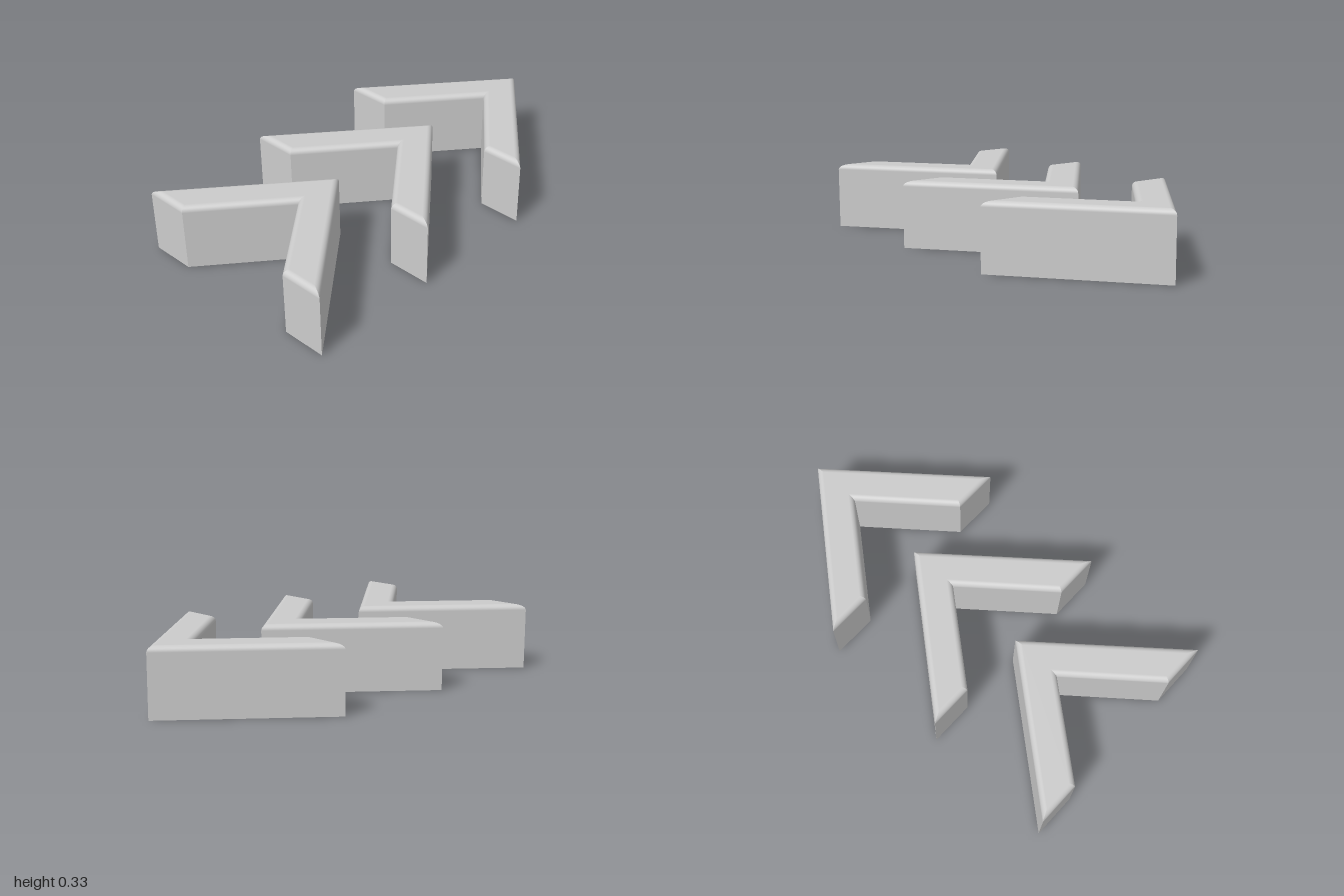
import * as THREE from 'three';

const HEIGHT = 0.333, RADIUS = 0.028, STEPS = 8, PITCH = 2 / 3;

// Chevron outline as (x, z), starting at the tip
const outline = [[0, 0], [0.555, 0.666], [0.333, 0.666], [0, 0.262], [-0.333, 0.666], [-0.555, 0.666]]
  .map(([x, z]) => new THREE.Vector2(x, z));
const count = outline.length;

// Outward normal of each outline edge
const normals = outline.map((p, i) => {
  const d = outline[(i + 1) % count].clone().sub(p).normalize();
  return new THREE.Vector2(d.y, -d.x);
});

// Outline corner moved inwards with mitred corners
function inset(i, amount) {
  const a = normals[(i + count - 1) % count], b = normals[i];
  return outline[i].clone().addScaledVector(a.clone().add(b), -amount / (1 + a.dot(b)));
}

function chevronGeometry() {
  const pos = [], nor = [], index = [];
  const add = (p, y, nx, ny, nz) => {
    pos.push(p.x, y, p.y);
    nor.push(nx, ny, nz);
    return pos.length / 3 - 1;
  };

  // Cross-section levels: straight wall, then a quarter-round top edge
  const levels = [{ y: 0, inset: 0, a: 0 }];
  for (let k = 0; k <= STEPS; k++) {
    const a = (k / STEPS) * Math.PI / 2;
    levels.push({ y: HEIGHT - RADIUS + RADIUS * Math.sin(a), inset: RADIUS * (1 - Math.cos(a)), a });
  }

  // Sides: one strip per edge, so the corners stay sharp
  for (let i = 0; i < count; i++) {
    const n = normals[i];
    levels.forEach((l, k) => {
      const c = Math.cos(l.a), s = Math.sin(l.a);
      const v = add(inset(i, l.inset), l.y, n.x * c, s, n.y * c);
      add(inset((i + 1) % count, l.inset), l.y, n.x * c, s, n.y * c);
      if (k > 0) index.push(v - 2, v, v - 1, v - 1, v, v + 1);
    });
  }

  // Flat top and underside, one quad per arm
  for (const up of [true, false]) {
    const base = pos.length / 3;
    for (let i = 0; i < count; i++) {
      add(inset(i, up ? RADIUS : 0), up ? HEIGHT : 0, 0, up ? 1 : -1, 0);
    }
    for (const [a, b, c] of [[0, 1, 2], [0, 2, 3], [0, 3, 4], [0, 4, 5]]) {
      index.push(base + a, base + (up ? c : b), base + (up ? b : c));
    }
  }

  const g = new THREE.BufferGeometry();
  g.setAttribute('position', new THREE.Float32BufferAttribute(pos, 3));
  g.setAttribute('normal', new THREE.Float32BufferAttribute(nor, 3));
  g.setIndex(index);
  return g;
}

export function createModel() {
  const group = new THREE.Group();
  group.name = 'chevronRow';
  const geometry = chevronGeometry();
  const material = new THREE.MeshStandardMaterial({ color: 0xcccccc });

  // Three equal chevrons pointing to the back
  ['backChevron', 'middleChevron', 'frontChevron'].forEach((name, i) => {
    const mesh = new THREE.Mesh(geometry, material);
    mesh.name = name;
    mesh.position.z = -1 + i * PITCH;
    group.add(mesh);
  });
  return group;
}
